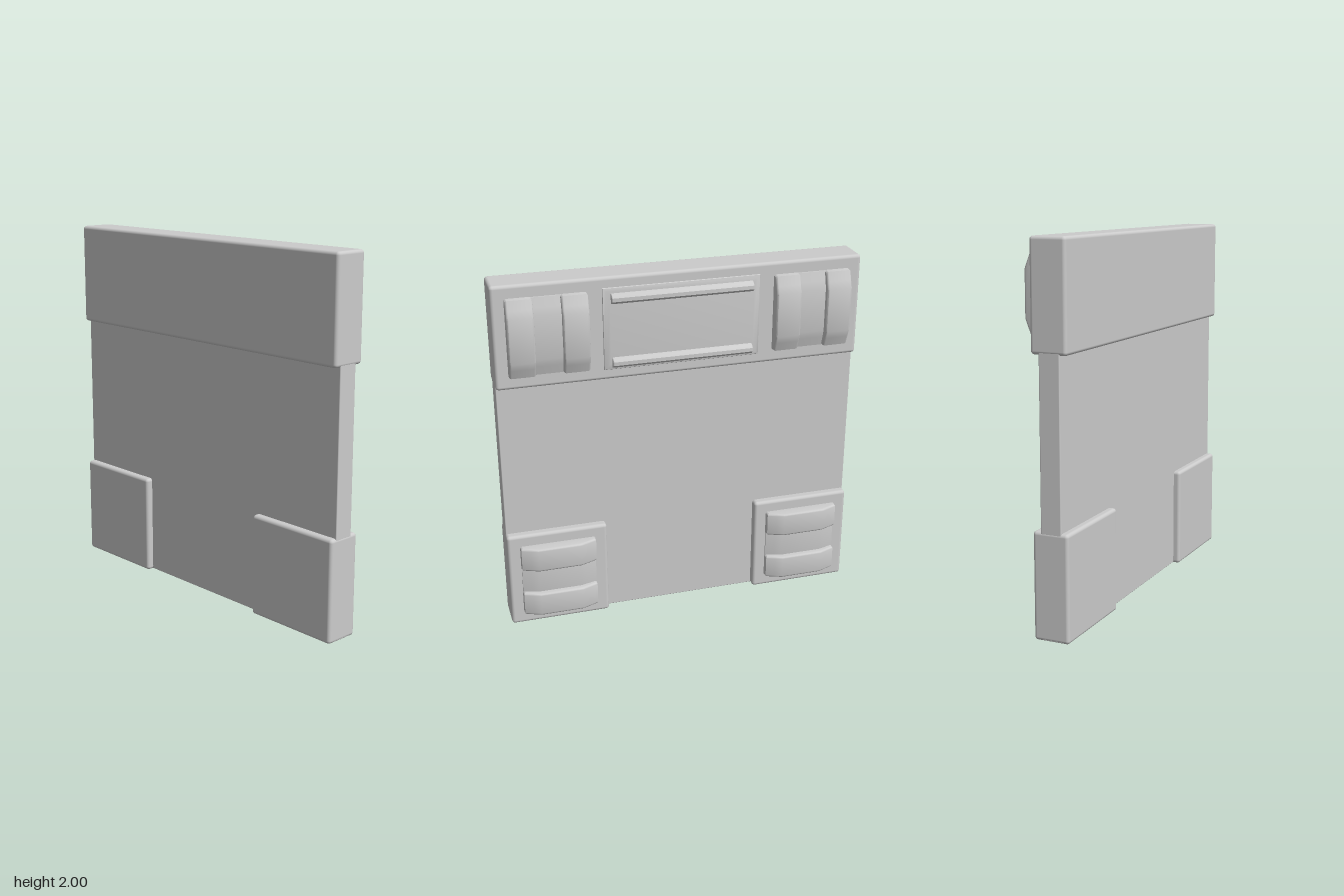
import * as THREE from 'three';
import { RoundedBoxGeometry } from 'three/addons/geometries/RoundedBoxGeometry.js';
import { toCreasedNormals } from 'three/addons/utils/BufferGeometryUtils.js';

const grey = new THREE.MeshStandardMaterial({ color: 0xcccccc });

function part(name, geometry) {
  const mesh = new THREE.Mesh(geometry, grey);
  mesh.name = name;
  return mesh;
}

// Rounded block given by its minimum and maximum corners
function block(name, min, max, radius) {
  const size = max.map((v, i) => v - min[i]);
  const mesh = part(name, new RoundedBoxGeometry(...size, 3, radius));
  mesh.position.set(...max.map((v, i) => (v + min[i]) / 2));
  return mesh;
}

// Profile of [z, y] points, extruded along x over the given width, with a small bevel
function bar(name, profile, width, bevel) {
  const shape = new THREE.Shape(profile.map(([z, y]) => new THREE.Vector2(z, y)));
  const geometry = new THREE.ExtrudeGeometry(shape, {
    depth: width - 2 * bevel, bevelEnabled: bevel > 0, bevelThickness: bevel,
    bevelSize: bevel, bevelOffset: -bevel, bevelSegments: 3,
  });
  geometry.translate(0, 0, -width / 2 + bevel);
  geometry.rotateY(-Math.PI / 2); // shape x -> +z, depth -> -x
  return part(name, toCreasedNormals(geometry, 0.6));
}

// Pad with two humped ribs and a lower groove between them; ribs run along y
function ribbedPad(name) {
  const pad = new THREE.Group();
  pad.name = name;
  const hump = (top) => [
    [-0.03, -0.215], [-0.095 * top, -0.21], [-0.115 * top, -0.16], [-0.13 * top, -0.12],
    [-0.13 * top, 0.12], [-0.115 * top, 0.16], [-0.095 * top, 0.21], [-0.03, 0.215],
  ];
  pad.add(bar('padGroove', hump(0.75), 0.41, 0.005));
  for (const side of [-1, 1]) {
    const rib = bar('padRib', hump(1), 0.14, 0.012);
    rib.position.x = side * 0.143;
    pad.add(rib);
  }
  return pad;
}

export function createModel() {
  const model = new THREE.Group();
  model.name = 'panel';

  // Thin sheet and the thick band across its top
  model.add(block('sheet', [-0.998, 0.004, -0.02], [0.998, 1.9, 0.092], 0.005));
  model.add(block('topBand', [-1, 1.437, -0.065], [1, 2, 0.13], 0.018));

  // Low raised panel on the back of the band, with sloping rim
  const rim = new THREE.Shape();
  rim.moveTo(-0.43, 1.49).lineTo(0.43, 1.49).lineTo(0.43, 1.945).lineTo(-0.43, 1.945).closePath();
  const raised = new THREE.ExtrudeGeometry(rim, {
    depth: 0.02, bevelThickness: 0.016, bevelSize: 0.04, bevelOffset: -0.04, bevelSegments: 3,
  });
  raised.translate(0, 0, -0.061);
  model.add(part('backPanel', toCreasedNormals(raised, 0.6)));

  // Two long ridges on the raised panel
  for (const y of [1.535, 1.885]) {
    const ridge = bar('backRidge',
      [[-0.06, -0.035], [-0.095, -0.022], [-0.105, -0.01], [-0.105, 0.01], [-0.095, 0.022], [-0.06, 0.035]],
      0.77, 0.006);
    ridge.position.y = y;
    model.add(ridge);
  }

  // Feet and pads, mirrored; the lower pads are turned so their ribs lie across
  for (const side of [-1, 1]) {
    const name = side > 0 ? 'left' : 'right';
    const [a, b] = side > 0 ? [0.437, 1] : [-1, -0.437];
    model.add(block(name + 'Foot', [a, 0, -0.065], [b, 0.563, 0.13], 0.018));

    const upper = ribbedPad(name + 'UpperPad');
    upper.position.set(side * 0.718, 1.72, 0);
    model.add(upper);

    const lower = ribbedPad(name + 'LowerPad');
    lower.position.set(side * 0.718, 0.284, 0);
    lower.rotation.z = Math.PI / 2;
    model.add(lower);
  }
  return model;
}
